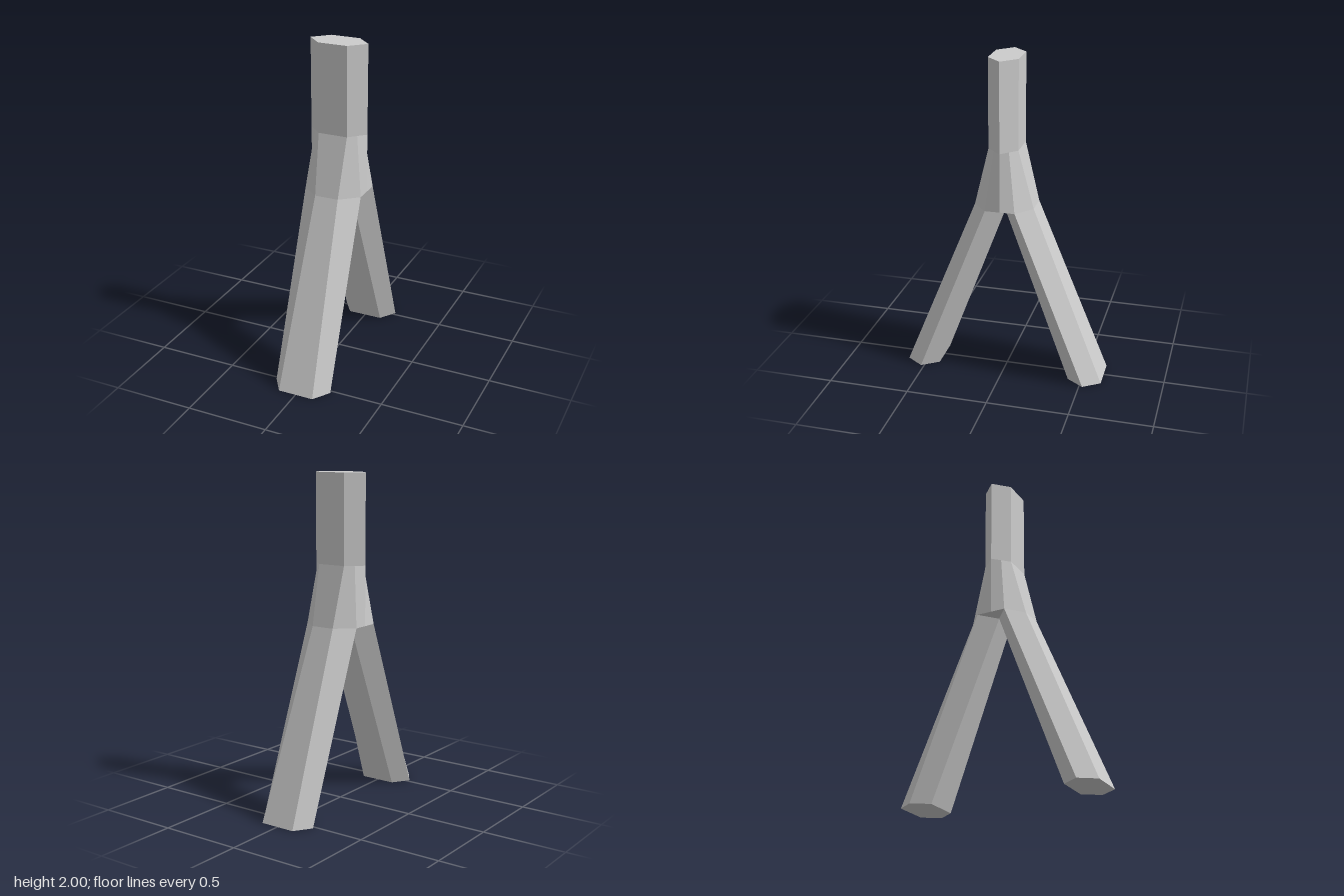
import * as THREE from 'three';

const material = new THREE.MeshStandardMaterial({ color: 0xcccccc });

// Flat faces (triangles or quads) given as lists of Vector3, one normal per face
function facesToMesh(name, faces) {
  const pos = [], nor = [];
  for (const f of faces) {
    const n = f[2].clone().sub(f[0]).cross(f[f.length - 1].clone().sub(f[1]));
    if (f.length === 3) n.copy(f[1]).sub(f[0]).cross(f[2].clone().sub(f[0]));
    n.normalize();
    for (let i = 1; i < f.length - 1; i++) {
      for (const p of [f[0], f[i], f[i + 1]]) {
        pos.push(p.x, p.y, p.z);
        nor.push(n.x, n.y, n.z);
      }
    }
  }
  const geo = new THREE.BufferGeometry();
  geo.setAttribute('position', new THREE.Float32BufferAttribute(pos, 3));
  geo.setAttribute('normal', new THREE.Float32BufferAttribute(nor, 3));
  const mesh = new THREE.Mesh(geo, material);
  mesh.name = name;
  return mesh;
}

const ring = (y, points) => points.map(([x, z]) => new THREE.Vector3(x, y, z));

// Hexagon with points at +x and -x, running from +x towards +z
const hexagon = (y, z, side, flat, depth) => ring(y, [
  [side, z], [flat, z + depth], [-flat, z + depth],
  [-side, z], [-flat, z - depth], [flat, z - depth],
]);

// Quads between an upper and a lower row of points
function skin(top, bottom, closed) {
  const faces = [], n = top.length;
  for (let i = 0; i < (closed ? n : n - 1); i++) {
    const j = (i + 1) % n;
    faces.push([top[i], top[j], bottom[j], bottom[i]]);
  }
  return faces;
}

// Hexagon end cap made of three symmetric quad/triangle pieces
const cap = (h, up) => [[h[0], h[1], h[5]], [h[1], h[2], h[4], h[5]], [h[2], h[3], h[4]]]
  .map((f) => (up ? f.reverse() : f));

export function createModel() {
  const model = new THREE.Group();
  const forkTop = 1.46, crotch = 1.1;

  // Upright stem
  const stemTop = hexagon(2, 0, 0.18, 0.09, 0.09);
  const stemBase = hexagon(forkTop, 0, 0.18, 0.09, 0.09);
  model.add(facesToMesh('stem', [...skin(stemTop, stemBase, true), ...cap(stemTop, true)]));

  // Each half of the fork with its splayed leg, turned for the back
  for (const [side, angle] of [['front', 0], ['back', Math.PI]]) {
    const branch = new THREE.Group();
    branch.name = side + 'Branch';

    const upper = ring(forkTop, [[0.18, 0], [0.135, 0.045], [0.09, 0.09],
      [-0.09, 0.09], [-0.135, 0.045], [-0.18, 0]]);
    const lower = ring(crotch, [[0.18, 0], [0.18, 0.09], [0.073, 0.18],
      [-0.073, 0.18], [-0.18, 0.09], [-0.18, 0]]);
    const legTop = hexagon(crotch, 0.09, 0.18, 0.073, 0.09);
    const legFoot = hexagon(0, 0.52, 0.18, 0.11, 0.103);

    // Fork half, with the small undersides beside the crotch
    branch.add(facesToMesh(side + 'Fork', [
      ...skin(upper, lower, false),
      [lower[0], lower[1], legTop[5]],
      [lower[4], lower[5], legTop[4]],
    ]));

    // Leg with its foot cap
    branch.add(facesToMesh(side + 'Leg', [...skin(legTop, legFoot, true), ...cap(legFoot, false)]));

    branch.rotation.y = angle;
    model.add(branch);
  }
  return model;
}
